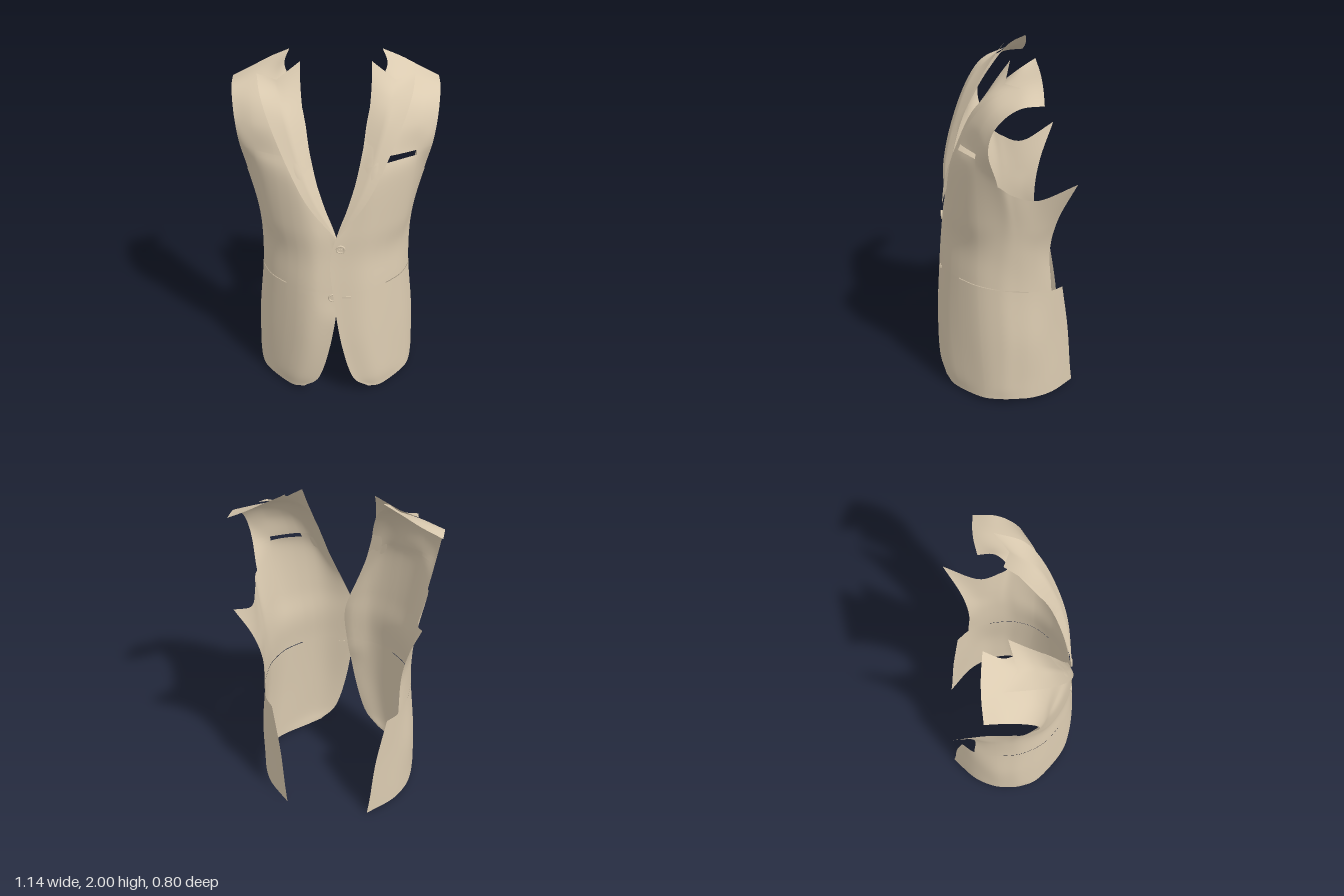
import * as THREE from 'three';

const fabric = new THREE.MeshStandardMaterial({ color: 0xdacab0, side: THREE.DoubleSide });
fabric.name = 'tan fabric';

// Cross-sections of the left panel, front edge to back edge; the last point is the vent flap.
const skirtRows = [
  [[.195, .036, .355], [.28, .013, .303], [.42, .02, .16], [.465, .028, .05], [.47, .028, -.05], [.45, .02, -.15], [.385, .012, -.27], [.25, 0, -.4]],
  [[.1, .14, .392], [.25, .13, .335], [.41, .13, .17], [.467, .13, .05], [.47, .13, -.05], [.45, .13, -.15], [.388, .13, -.265], [.265, .13, -.385]],
  [[.03, .4, .396], [.2, .4, .355], [.385, .4, .19], [.455, .4, .05], [.465, .4, -.05], [.45, .4, -.15], [.39, .4, -.255], [.29, .4, -.36]],
  [[-.018, .735, .376], [.18, .74, .34], [.355, .738, .2], [.425, .73, .06], [.435, .72, -.05], [.425, .71, -.15], [.395, .7, -.245], [.34, .695, -.315]],
];
// Waist up to the lower armhole edge
const waistRows = [
  [[-.032, .95, .357], [.17, .95, .325], [.345, .95, .195], [.42, .95, .05], [.435, .95, -.05], [.425, .95, -.15], [.4, .95, -.23]],
  [[.01, 1.12, .338], [.19, 1.14, .32], [.375, 1.14, .2], [.445, 1.14, .035], [.45, 1.12, -.05], [.445, 1.11, -.16], [.44, 1.16, -.265]],
  [[.085, 1.32, .295], [.22, 1.41, .3], [.405, 1.44, .205], [.493, 1.383, .063], [.484, 1.322, -.025], [.468, 1.288, -.16], [.51, 1.39, -.355]],
];
// Chest to shoulder seam, ending at the front armhole edge
const chestRows = [
  [[.14, 1.55, .222], [.25, 1.56, .25], [.41, 1.56, .185], [.526, 1.56, .112]],
  [[.165, 1.7, .145], [.28, 1.7, .183], [.425, 1.69, .155], [.545, 1.68, .098]],
  [[.2, 1.82, .065], [.31, 1.82, .09], [.435, 1.8, .08], [.559, 1.77, .038]],
  [[.275, 1.94, -.05], [.335, 1.895, -.03], [.45, 1.868, -.05], [.568, 1.828, -.05]],
  [[.255, 2, -.15], [.36, 1.95, -.165], [.46, 1.895, -.17], [.57, 1.84, -.165]],
];
// Lapel: roll line, middle, outer edge
const lapelRows = [
  [[0, 1.09, .35], [0, 1.087, .352], [0, 1.08, .354]],
  [[.075, 1.3, .305], [.118, 1.3, .326], [.16, 1.3, .334]],
  [[.134, 1.5, .24], [.198, 1.5, .272], [.262, 1.5, .28]],
  [[.17, 1.7, .155], [.259, 1.7, .194], [.352, 1.7, .193]],
  [[.188, 1.85, .065], [.29, 1.81, .108], [.405, 1.83, .092]],
  [[.193, 1.975, -.025], [.32, 1.885, .012], [.43, 1.892, -.06]],
];

const curve = (pts) => new THREE.CatmullRomCurve3(pts, false, 'catmullrom', 0.5);

// Fill rows to the same width: continue the column from below if it ends there, otherwise the row
function toVectors(rows, width) {
  const result = rows.map((row) => row.map((p) => new THREE.Vector3(...p)));
  const extend = (a, b) => a.clone().multiplyScalar(2).sub(b);
  result.forEach((row, r) => {
    for (let c = row.length; c < width; c++) {
      if (r > 1 && rows[r - 1][c]) row.push(extend(result[r - 1][c], result[r - 2][c]));
      else row.push(extend(row[c - 1], row[c - 2]));
    }
  });
  return result;
}

// Evenly spaced grid lines plus extra ones on the borders of openings
function gridLines(max, steps, extra = []) {
  const lines = [...extra];
  for (let i = 0; i <= max * steps; i++) lines.push(i / steps);
  return [...new Set(lines)].sort((a, b) => a - b);
}

// Smooth surface through rows of points; cells for which keep() fails are left out
function surface(rows, us, vs, side, keep, straight = false) {
  const width = rows[0].length;
  const columns = rows[0].map((_, c) => curve(rows.map((r) => r[c])));
  const position = [], index = [];
  for (const v of vs) {
    const section = columns.map((c) => c.getPoint(v / (rows.length - 1)));
    const across = curve(section);
    for (const u of us) {
      const k = Math.min(Math.floor(u), width - 2);
      const p = straight ? section[k].clone().lerp(section[k + 1], u - k) : across.getPoint(u / (width - 1));
      // the right panel tucks under the left one at the closing
      if (side < 0 && p.y > .55) p.z -= .02 * Math.max(0, 1 - Math.abs(p.x) / .12) * Math.min(1, (p.y - .55) * 8);
      position.push(side * p.x, p.y, p.z);
    }
  }
  const n = us.length;
  for (let j = 0; j < vs.length - 1; j++) {
    for (let i = 0; i < n - 1; i++) {
      if (!keep((us[i] + us[i + 1]) / 2, (vs[j] + vs[j + 1]) / 2)) continue;
      const a = j * n + i, b = a + 1, c = a + n, d = c + 1;
      if (side > 0) index.push(a, b, d, a, d, c);
      else index.push(a, d, b, a, c, d);
    }
  }
  const g = new THREE.BufferGeometry();
  g.setAttribute('position', new THREE.Float32BufferAttribute(position, 3));
  g.setIndex(index);
  g.computeVertexNormals();
  return g;
}

function add(parent, name, geometry, x = 0, y = 0, z = 0) {
  const mesh = new THREE.Mesh(geometry, fabric);
  mesh.name = name;
  mesh.position.set(x, y, z);
  parent.add(mesh);
  return mesh;
}

function button(name, x, y, z) {
  const group = new THREE.Group();
  group.name = name;
  add(group, 'buttonDisc', new THREE.CylinderGeometry(.024, .024, .006, 24)).rotation.x = Math.PI / 2;
  add(group, 'buttonRim', new THREE.TorusGeometry(.022, .005, 8, 28), 0, 0, .003);
  for (const a of [0, Math.PI / 2]) {
    add(group, 'buttonThread', new THREE.BoxGeometry(.018, .004, .004), 0, 0, .004).rotation.z = a;
  }
  group.position.set(x, y, z);
  return group;
}

export function createModel() {
  const jacket = new THREE.Group();
  jacket.name = 'jacketFront';
  const body = toVectors([...skirtRows, ...waistRows, ...chestRows], 8);
  const lapel = toVectors(lapelRows, 3);
  const us = gridLines(7, 8, [1.2, 1.55, 2.2, 4.6]);
  const vs = gridLines(11, 8, [3.018, 6.62, 6.9]);

  for (const side of [1, -1]) {
    const label = side > 0 ? 'left' : 'right';
    const keep = (u, v) => {
      if (u > 6 && v > 3) return false; // above the vent flap
      if (u > 3 && v > 6) return false; // armhole
      if (u > 1.55 && u < 4.6 && v > 3 && v < 3.018) return false; // hip pocket slit
      return !(side > 0 && u > 1.2 && u < 2.2 && v > 6.62 && v < 6.9); // breast pocket opening
    };
    add(jacket, label + 'Panel', surface(body, us, vs, side, keep));
    add(jacket, label + 'Lapel', surface(lapel, gridLines(2, 6), gridLines(5, 8), side, () => true, true));
  }

  // Closing
  jacket.add(button('topButton', .025, 1.025, .354));
  jacket.add(button('lowerButton', -.018, .705, .366));
  add(jacket, 'buttonhole', new THREE.BoxGeometry(.05, .008, .006), .06, .71, .37);
  return jacket;
}
